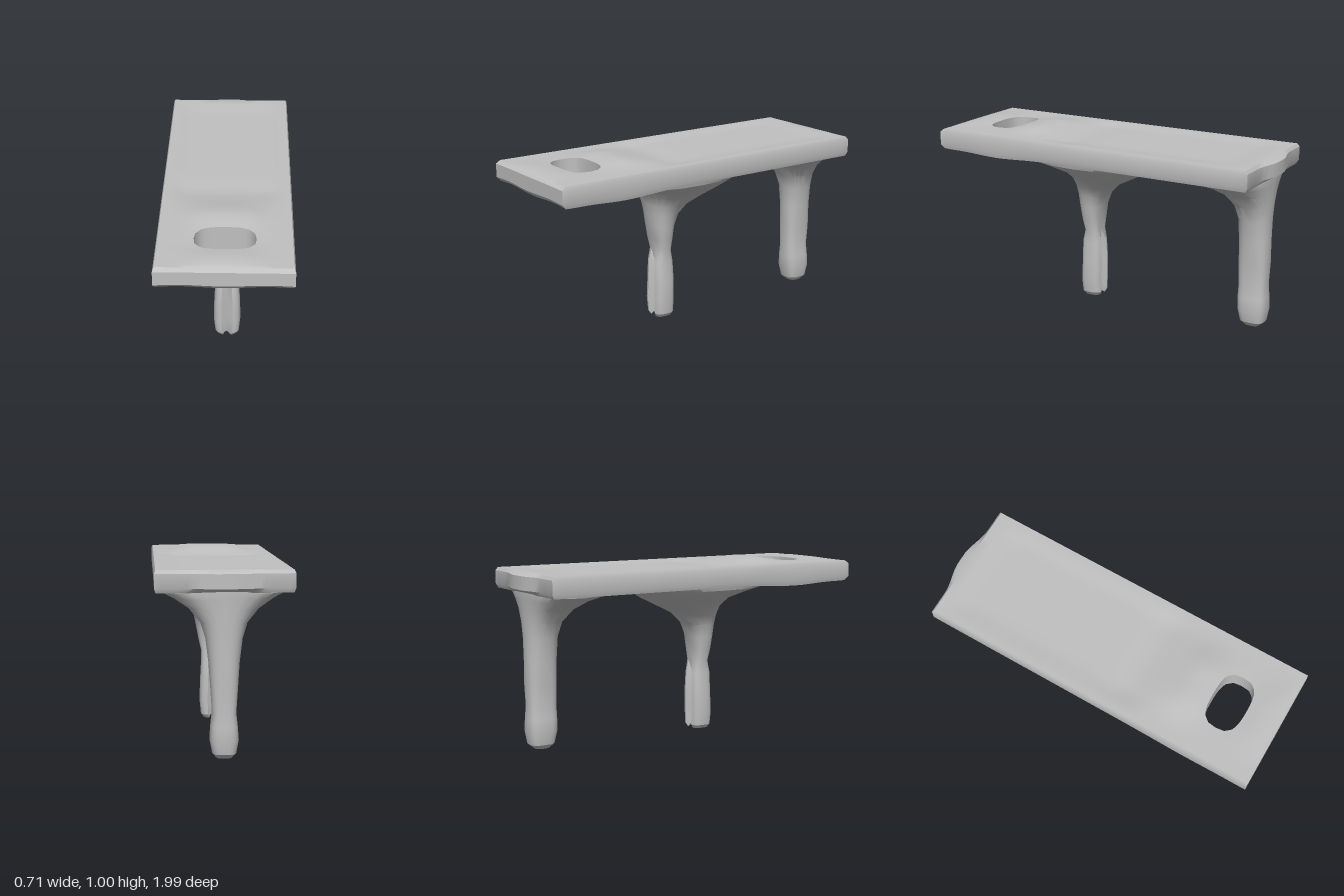
import * as THREE from 'three';
import { mergeVertices, toCreasedNormals } from 'three/addons/utils/BufferGeometryUtils.js';

const gauss = (v, centre, width) => Math.exp(-(((v - centre) / width) ** 2));
const smooth = THREE.MathUtils.smoothstep;
const spow = (v, e) => Math.sign(v) * Math.abs(v) ** e;

function finish(points, crease) {
  const g = new THREE.BufferGeometry();
  g.setAttribute('position', new THREE.Float32BufferAttribute(points, 3));
  return toCreasedNormals(mergeVertices(g, 1e-5), crease);
}

// Quad with corners counter-clockwise seen from outside
const quad = (out, a, b, c, d) => out.push(...a, ...b, ...c, ...a, ...c, ...d);

// Softly worn top of the bench: a hump, a dip behind it and a shallow dish
function topY(x, z) {
  const across = 1 - smooth(Math.abs(x), 0.08, 0.29);
  const inner = 1 - smooth(Math.abs(x), 0.22, 0.32);
  const dish = smooth(z, -0.92, -0.78) * (1 - smooth(z, 0.1, 0.35));
  return 0.972 + across * (0.026 * gauss(z, 0.48, 0.12) + 0.012 * gauss(z, 0.89, 0.07))
    - inner * (0.009 * dish + 0.01 * gauss(z, 0.2, 0.09));
}
const bottomY = (x, z) => 0.857 - 0.014 * gauss(z, 0.6, 0.2) - 0.01 * gauss(z, 0.92, 0.08) * Math.cos(x * 14);

// Plank made from a grid whose cells are left out at the handle hole
function plankGeometry() {
  const xs = [-0.353], zs = [-0.965];
  for (let i = -8; i <= 8; i++) xs.push(i * 0.04);
  for (let j = -18; j <= 19; j++) zs.push(j * 0.05);
  xs.push(0.353);
  zs.push(0.99);
  const nx = xs.length - 1, nz = zs.length - 1;
  const layers = [0, 0.2, 0.85, 1];

  const point = (i, j, k) => {
    let x = xs[i], z = zs[j];
    const rim = k === 0 || k === 3;
    // Round the hole and ease the grid back to straight around it
    const dx = Math.abs(x) / 0.16, dz = Math.abs(z - 0.7) / 0.1, s = Math.max(dx, dz);
    if (s > 0.5 && s < 2.15) {
      const r = Math.cbrt(dx ** 3 + dz ** 3);
      const f = THREE.MathUtils.lerp(1, s / r, Math.min(1, (2.15 - s) / 1.15));
      x *= f;
      z = 0.7 + (z - 0.7) * f;
    }
    const y = THREE.MathUtils.lerp(bottomY(x, z), topY(x, z), layers[k]);
    // Rounded outer edges and the bulge in the back end
    if (rim && (i === 0 || i === nx)) x *= 0.98;
    if (j === nz && rim) z -= 0.022;
    if (j === 0) z += rim ? 0.012 : -0.035 * (1 - smooth(Math.abs(x), 0.03, 0.22));
    return [x, y, z];
  };
  const solid = (i, j) => {
    if (i < 0 || j < 0 || i >= nx || j >= nz) return false;
    const x = (xs[i] + xs[i + 1]) / 2, z = (zs[j] + zs[j + 1]) / 2;
    return Math.abs(x) > 0.16 || Math.abs(z - 0.7) > 0.1;
  };

  const out = [];
  for (let i = 0; i < nx; i++) for (let j = 0; j < nz; j++) {
    if (!solid(i, j)) continue;
    const c = [[i, j], [i, j + 1], [i + 1, j + 1], [i + 1, j]];
    quad(out, ...c.map(([a, b]) => point(a, b, 3)));
    quad(out, ...c.map(([a, b]) => point(a, b, 0)).reverse());
    // Walls along every open side of the cell
    const beside = [[i - 1, j], [i, j + 1], [i + 1, j], [i, j - 1]];
    beside.forEach(([a, b], n) => {
      if (solid(a, b)) return;
      const p = c[n], q = c[(n + 1) % 4];
      for (let k = 0; k < 3; k++) {
        quad(out, point(...p, k), point(...q, k), point(...q, k + 1), point(...p, k + 1));
      }
    });
  }
  return finish(out, 0.6);
}

// Leg lofted through rings of [height, half width, front z, back z]
function legGeometry(rings, groove = 0, notch = 0) {
  const sides = 24;
  const point = (r, i) => {
    const [y, w, zf, zb] = rings[r];
    const a = (i % sides) / sides * Math.PI * 2;
    const middle = i % 12 === 6;
    const e = y < 0.5 ? 0.65 : 0.85;
    const depth = (zf - zb) / 2 - (middle && y < 0.38 ? groove : 0);
    return [w * spow(Math.cos(a), e), y + (middle && r === 0 ? notch : 0),
      (zf + zb) / 2 + depth * spow(Math.sin(a), e)];
  };
  const out = [];
  const [y0, , f0, b0] = rings[0];
  for (let i = 0; i < sides; i++) {
    for (let r = 0; r < rings.length - 1; r++) {
      quad(out, point(r, i), point(r + 1, i), point(r + 1, i + 1), point(r, i + 1));
    }
    out.push(0, y0 + notch, (f0 + b0) / 2, ...point(0, i), ...point(0, i + 1));
  }
  return finish(out, 0.5);
}

export function createModel() {
  const model = new THREE.Group();
  model.name = 'bench';
  const grey = new THREE.MeshStandardMaterial({ color: 0xc0c0c0 });
  grey.name = 'plain grey';
  const add = (name, geometry) => {
    const mesh = new THREE.Mesh(geometry, grey);
    mesh.name = name;
    model.add(mesh);
  };

  add('plank', plankGeometry());

  // Forked front leg flaring into the underside
  add('frontLeg', legGeometry([
    [0, 0.055, 0.2, 0.1],
    [0.02, 0.07, 0.212, 0.088],
    [0.1, 0.078, 0.217, 0.087],
    [0.22, 0.075, 0.212, 0.085],
    [0.33, 0.069, 0.21, 0.09],
    [0.4, 0.068, 0.192, 0.105],
    [0.47, 0.084, 0.205, 0.1],
    [0.55, 0.099, 0.222, 0.085],
    [0.62, 0.113, 0.23, 0.06],
    [0.68, 0.142, 0.24, 0],
    [0.73, 0.188, 0.255, -0.1],
    [0.78, 0.252, 0.3, -0.2],
    [0.815, 0.305, 0.41, -0.26],
    [0.84, 0.335, 0.52, -0.32],
    [0.875, 0.345, 0.57, -0.4],
  ], 0.025, 0.045));

  // Rear leg with a rounded foot
  add('rearLeg', legGeometry([
    [0.005, 0.04, -0.835, -0.915],
    [0.03, 0.062, -0.805, -0.945],
    [0.1, 0.075, -0.79, -0.957],
    [0.17, 0.07, -0.788, -0.955],
    [0.24, 0.062, -0.79, -0.95],
    [0.36, 0.07, -0.788, -0.955],
    [0.5, 0.08, -0.783, -0.957],
    [0.62, 0.095, -0.778, -0.957],
    [0.7, 0.12, -0.755, -0.96],
    [0.77, 0.18, -0.7, -0.962],
    [0.82, 0.26, -0.62, -0.965],
    [0.85, 0.325, -0.54, -0.967],
    [0.88, 0.34, -0.47, -0.967],
  ]));

  return model;
}
